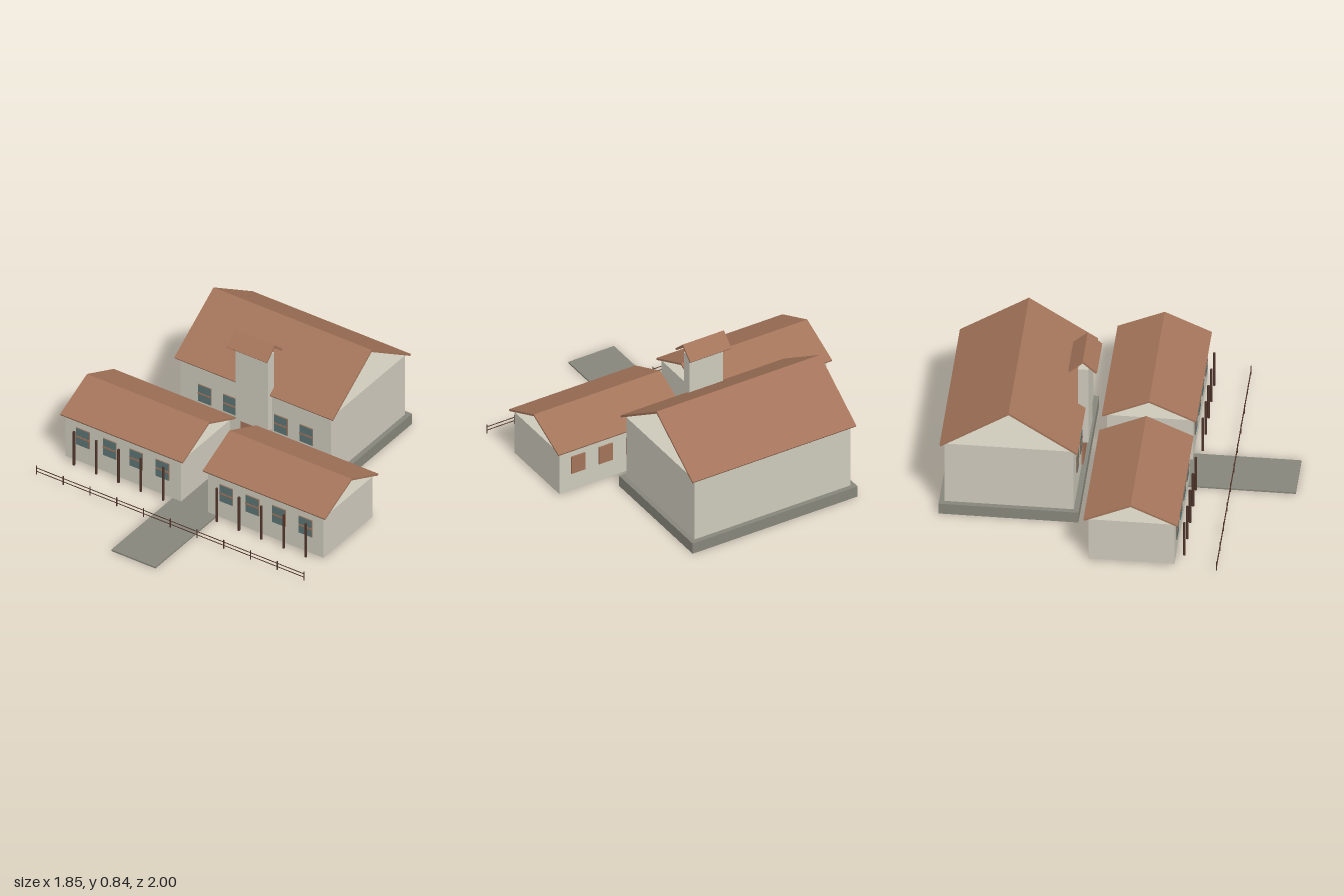
import * as THREE from 'three';

const mat = (name, color) => {
  const m = new THREE.MeshStandardMaterial({ color });
  m.name = name;
  return m;
};

export function createModel() {
  const plaster = mat('plaster', 0xcdc9bb);
  const tile = mat('terracotta', 0xa3745a);
  const stone = mat('stone', 0x86867b);
  const wood = mat('dark wood', 0x4e342a);
  const glass = mat('glass', 0x5b7373);
  const model = new THREE.Group();
  model.name = 'courtyardBuilding';

  // Box given by its lower and upper bounds
  const box = (name, material, x0, x1, y0, y1, z0, z1, parent = model) => {
    const mesh = new THREE.Mesh(new THREE.BoxGeometry(x1 - x0, y1 - y0, z1 - z0), material);
    mesh.position.set((x0 + x1) / 2, (y0 + y1) / 2, (z0 + z1) / 2);
    mesh.name = name;
    parent.add(mesh);
    return mesh;
  };

  // Open gable roof: an inverted V swept along x
  const roof = (name, x0, x1, zMid, halfDepth, eave, ridge, t, parent = model) => {
    const slope = Math.atan2(ridge - eave, halfDepth);
    const s = t * Math.sin(slope), c = t * Math.cos(slope);
    const shape = new THREE.Shape([
      [-halfDepth, eave], [0, ridge], [halfDepth, eave],
      [halfDepth - s, eave - c], [0, ridge - t / Math.cos(slope)], [-halfDepth + s, eave - c],
    ].map(([u, v]) => new THREE.Vector2(u, v)));
    const geo = new THREE.ExtrudeGeometry(shape, { depth: x1 - x0, bevelEnabled: false });
    geo.rotateY(Math.PI / 2);
    geo.translate(x0, 0, zMid);
    const mesh = new THREE.Mesh(geo, tile);
    mesh.name = name;
    parent.add(mesh);
  };

  // Framed window facing +z with one crossbar
  const frontWindow = (x, y, z, parent) => {
    const g = new THREE.Group();
    g.name = 'window';
    box('windowFrame', tile, x - 0.046, x + 0.046, y - 0.058, y + 0.058, z - 0.003, z + 0.005, g);
    box('windowGlass', glass, x - 0.044, x + 0.044, y - 0.056, y + 0.056, z + 0.004, z + 0.008, g);
    box('windowBar', tile, x - 0.044, x + 0.044, y - 0.005, y + 0.005, z + 0.006, z + 0.01, g);
    parent.add(g);
  };

  // Main hall
  const hall = new THREE.Group();
  hall.name = 'mainHall';
  model.add(hall);
  box('hallBase', stone, -0.55, 0.55, 0, 0.07, -1, -0.2, hall);
  box('hallWalls', plaster, -0.52, 0.52, 0.07, 0.48, -0.97, -0.23, hall);
  roof('hallRoof', -0.545, 0.545, -0.6, 0.395, 0.487, 0.745, 0.012, hall);
  box('hallDoor', tile, -0.1, 0.1, 0.07, 0.28, -0.235, -0.22, hall);
  for (const x of [-0.35, -0.175, 0.175, 0.35]) frontWindow(x, 0.293, -0.23, hall);

  // Tower above the entrance
  const tower = new THREE.Group();
  tower.name = 'tower';
  model.add(tower);
  box('towerWalls', plaster, -0.112, 0.112, 0.24, 0.76, -0.25, -0.19, tower);
  roof('towerRoof', -0.137, 0.137, -0.22, 0.083, 0.763, 0.838, 0.012, tower);

  // Two front wings with windows, back shutters and porch posts
  for (const side of [-1, 1]) {
    const wing = new THREE.Group();
    wing.name = side > 0 ? 'leftWing' : 'rightWing';
    model.add(wing);
    const span = (a, b) => (side > 0 ? [a, b] : [-b, -a]);
    box('wingWalls', plaster, ...span(0.093, 0.89), 0.01, 0.29, -0.105, 0.385, wing);
    roof('wingRoof', ...span(0.07, 0.912), 0.137, 0.27, 0.303, 0.425, 0.011, wing);
    for (const x of [0.22, 0.4, 0.583, 0.767]) {
      frontWindow(side * x, 0.182, 0.385, wing);
      box('backShutter', tile, side * x - 0.045, side * x + 0.045, 0.125, 0.24, -0.113, -0.104, wing);
    }
    for (let i = 0; i < 5; i++) {
      const post = new THREE.Mesh(new THREE.CylinderGeometry(0.0075, 0.0075, 0.23, 8), wood);
      post.position.set(side * (0.185 + i * 0.1535), 0.125, 0.432);
      post.name = 'porchPost';
      wing.add(post);
    }
  }

  // Path from the front up to the hall
  box('path', stone, -0.152, 0.152, 0, 0.01, -0.11, 1);

  // Fence
  const fence = new THREE.Group();
  fence.name = 'fence';
  model.add(fence);
  for (let i = 0; i < 11; i++) {
    const x = -0.922 + i * 0.1844;
    box('fencePost', wood, x - 0.0025, x + 0.0025, 0.01, 0.07, 0.6275, 0.6325, fence);
  }
  for (const y of [0.032, 0.055]) box('fenceRail', wood, -0.922, 0.922, y - 0.002, y + 0.002, 0.6285, 0.6315, fence);

  return model;
}
